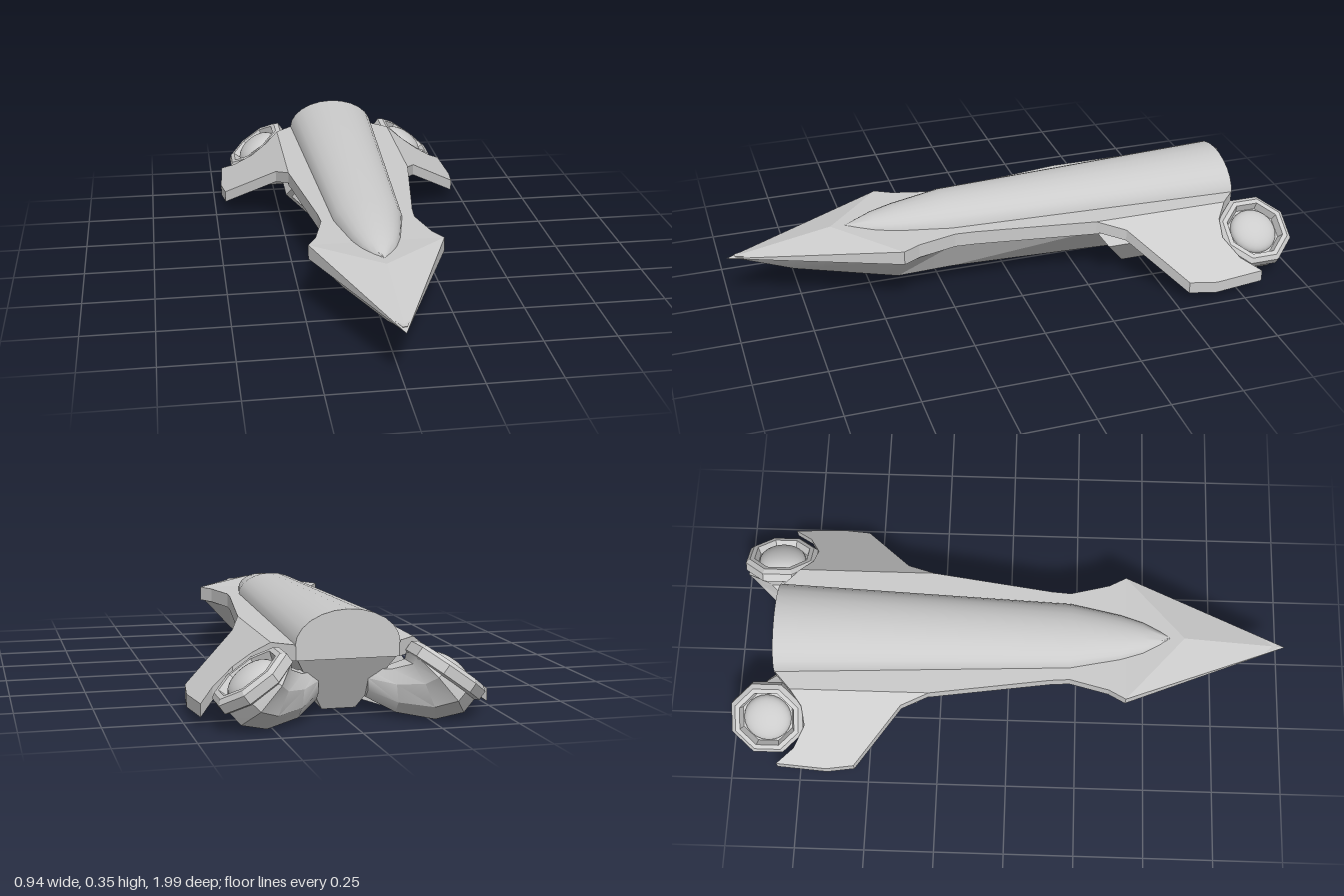
import * as THREE from 'three';
import { toCreasedNormals } from 'three/addons/utils/BufferGeometryUtils.js';
import { ConvexGeometry } from 'three/addons/geometries/ConvexGeometry.js';

const material = new THREE.MeshStandardMaterial({ color: 0xcccccc });

function part(name, geometry) {
  const mesh = new THREE.Mesh(geometry, material);
  mesh.name = name;
  return mesh;
}

// Closed skin through equal-length rings of [x, y, z] points, capped at both ends
function loft(rings, crease = 0.5) {
  const n = rings[0].length;
  const points = rings.flat().map((p) => new THREE.Vector3(...p));
  let faces = [];
  for (let i = 0; i < rings.length - 1; i++) {
    for (let j = 0; j < n; j++) {
      const a = i * n + j, b = i * n + (j + 1) % n;
      faces.push([a, b, a + n], [b, b + n, a + n]);
    }
  }
  for (const start of [0, (rings.length - 1) * n]) {
    const centre = new THREE.Vector3();
    for (let j = 0; j < n; j++) centre.addScaledVector(points[start + j], 1 / n);
    const c = points.push(centre) - 1;
    for (let j = 0; j < n; j++) {
      const a = start + j, b = start + (j + 1) % n;
      faces.push(start ? [a, b, c] : [b, a, c]);
    }
  }
  // turn the skin outwards
  let volume = 0;
  for (const [a, b, c] of faces) volume += points[a].dot(points[b].clone().cross(points[c]));
  if (volume < 0) faces = faces.map(([a, b, c]) => [a, c, b]);
  const geo = new THREE.BufferGeometry().setFromPoints(points);
  geo.setIndex(faces.flat());
  return toCreasedNormals(geo, crease);
}

// Plate from a plan outline of [x, z]; topAt(x) gives the height of its upper face
function plate(outline, topAt, thickness) {
  const shape = new THREE.Shape(outline.map(([x, z]) => new THREE.Vector2(x, -z)));
  const geo = new THREE.ExtrudeGeometry(shape, { depth: 1, bevelEnabled: false });
  geo.rotateX(-Math.PI / 2);
  const pos = geo.attributes.position;
  for (let i = 0; i < pos.count; i++) {
    pos.setY(i, topAt(pos.getX(i)) - (1 - pos.getY(i)) * thickness);
  }
  geo.computeVertexNormals();
  return geo;
}

// Octagon of radius r whose axis leans by `lean` from +x towards +y
function octagon(s, [cx, cy, cz, r, lean]) {
  return Array.from({ length: 8 }, (_, k) => {
    const a = (k + 0.5) * Math.PI / 4;
    const u = r * Math.cos(a);
    return [s * (cx - u * Math.sin(lean)), cy + u * Math.cos(lean), cz + r * Math.sin(a)];
  });
}

function createEngine(s) {
  const engine = new THREE.Group();
  engine.name = s > 0 ? 'leftEngine' : 'rightEngine';
  const lean = 0.95;
  // ring at a distance along the nozzle axis
  const along = (d, r) => octagon(s, [
    0.305 + d * Math.cos(lean), 0.155 + d * Math.sin(lean), -0.86, r, lean]);

  // bent body growing out of the hull
  engine.add(part('engineBody', loft([
    [0.08, 0.11, -0.74, 0.05, 0],
    [0.15, 0.095, -0.8, 0.075, 0.1],
    [0.23, 0.1, -0.845, 0.105, 0.4],
    [0.275, 0.125, -0.86, 0.13, 0.7],
    [0.3, 0.148, -0.86, 0.125, lean],
  ].map((ring) => octagon(s, ring)), 0.6)));

  // rim with a recessed mouth
  engine.add(part('nozzleRim', loft([
    along(-0.02, 0.125), along(-0.012, 0.138), along(0.02, 0.138), along(0.032, 0.122),
    along(0.032, 0.105), along(0.005, 0.095),
  ], 0.3)));

  // rounded core
  const dome = new THREE.SphereGeometry(0.085, 24, 10, 0, Math.PI * 2, 0, Math.PI / 2);
  dome.scale(1, 0.5, 1);
  const core = part('nozzleCore', dome);
  core.position.set(s * 0.308, 0.159, -0.86);
  core.rotation.z = s * (lean - Math.PI / 2);
  engine.add(core);
  return engine;
}

export function createModel() {
  const model = new THREE.Group();
  model.name = 'spacecraft';

  // arrowhead nose
  model.add(part('nose', new ConvexGeometry([
    [0, 0.2, 1], [0, 0.265, 0.63],
    [0.232, 0.255, 0.42], [-0.232, 0.255, 0.42], [0.232, 0.205, 0.42], [-0.232, 0.205, 0.42],
  ].map((p) => new THREE.Vector3(...p)))));

  // flat deck
  const deckSide = [[0.232, 0.42], [0.2, 0.36], [0.165, 0.22], [0.17, 0.15],
    [0.23, -0.28], [0.23, -0.775], [0.165, -0.835]];
  const deckOutline = [...deckSide, ...deckSide.map(([x, z]) => [-x, z]).reverse()].reverse();
  model.add(part('deck', plate(deckOutline, () => 0.255, 0.05)));

  // long domed spine
  const spine = [[0.58, 0.004, 0.263], [0.54, 0.03, 0.272], [0.48, 0.06, 0.29],
    [0.4, 0.085, 0.305], [0.22, 0.122, 0.33], [-0.835, 0.168, 0.36]];
  model.add(part('spine', loft(spine.map(([z, w, top]) =>
    Array.from({ length: 13 }, (_, k) => {
      const a = k * Math.PI / 12;
      return [w * Math.cos(a), 0.25 + (top - 0.25) * Math.sin(a), z];
    })), 0.6)));

  // keel hull: [z at top, z at bottom, top half-width, bottom half-width, bottom height]
  const keel = [[0.97, 0.96, 0.008, 0.004, 0.195], [0.77, 0.77, 0.085, 0.02, 0.13],
    [0.42, 0.42, 0.22, 0.115, 0.092], [0.22, 0.22, 0.155, 0.09, 0.082],
    [-0.3, -0.3, 0.21, 0.07, 0.053], [-0.6, -0.6, 0.2, 0.06, 0.035],
    [-0.83, -0.73, 0.16, 0.055, 0.025]];
  model.add(part('keel', loft(keel.map(([zt, zb, wt, wb, yb]) => [
    [wt, 0.208, zt], [wb, yb, zb], [-wb, yb, zb], [-wt, 0.208, zt],
  ]), 0.25)));

  for (const s of [1, -1]) {
    const side = s > 0 ? 'left' : 'right';

    // drooping wing, notched around the engine
    const wing = [[0.23, -0.28], [0.27, -0.38], [0.46, -0.55], [0.472, -0.65], [0.46, -0.83],
      [0.41, -0.765], [0.34, -0.725], [0.28, -0.735], [0.23, -0.775]];
    model.add(part(side + 'Wing', plate(
      wing.map(([x, z]) => [s * x, z]), (x) => 0.255 - 0.73 * (Math.abs(x) - 0.23), 0.042)));

    // slanted intake with a hollow mouth
    const corners = [[0.236, 0.147], [0.142, 0.025], [0.07, 0.05], [0.2, 0.2]];
    const frame = (size, zAt) => corners.map(([cx, cy]) => {
      const x = 0.162 + (cx - 0.162) * size, y = 0.105 + (cy - 0.105) * size;
      return [s * x, y, zAt(y)];
    });
    const slant = (y) => -0.29 - (0.2 - y) * 0.75;
    model.add(part(side + 'Intake', loft([
      frame(0.62, (y) => slant(y) - 0.1), frame(0.68, slant), frame(1, slant), frame(1, () => -0.72),
    ], 0.3)));

    model.add(createEngine(s));
  }
  return model;
}
